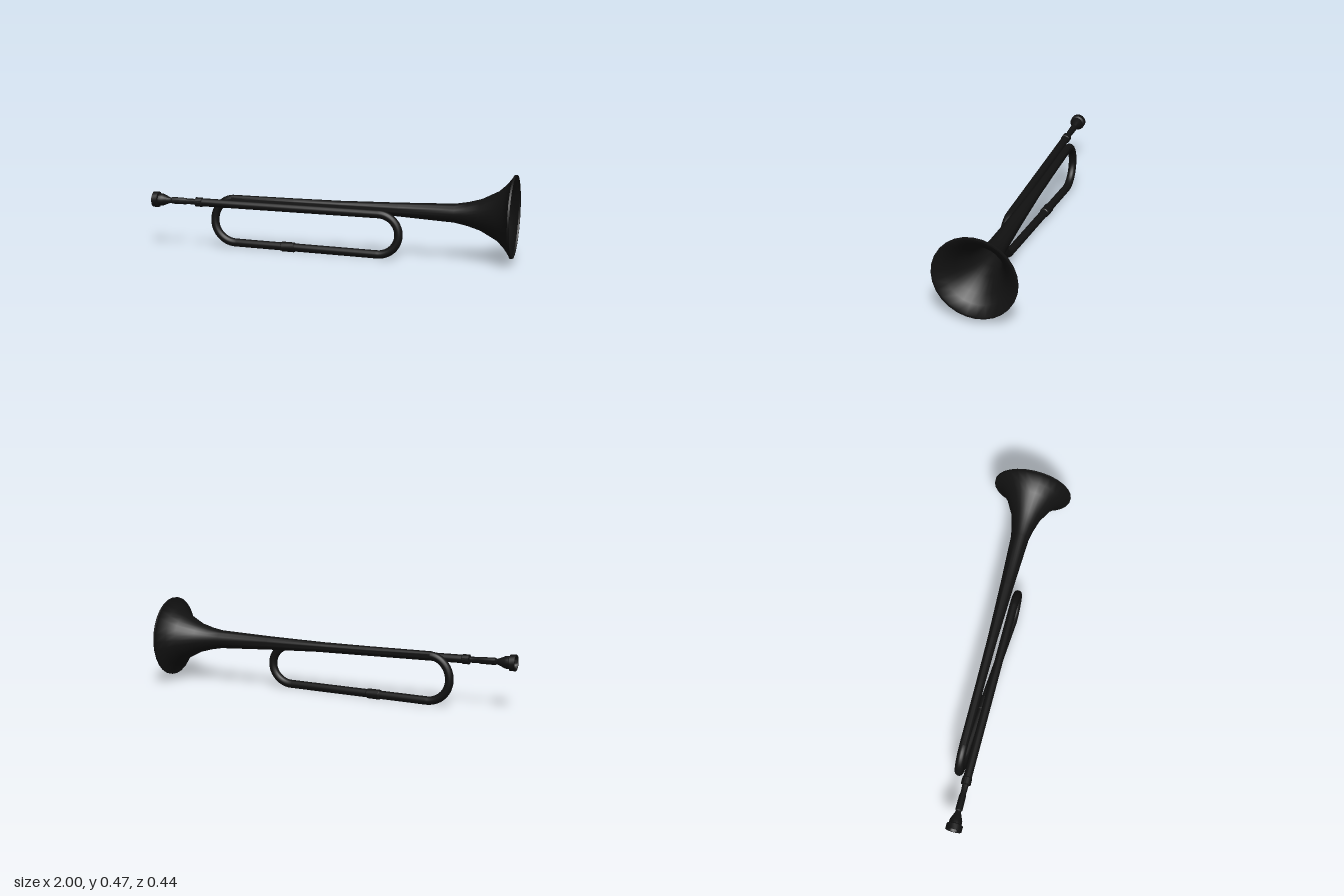
import * as THREE from 'three';
import { toCreasedNormals } from 'three/addons/utils/BufferGeometryUtils.js';

const V = (x, y, z) => new THREE.Vector3(x, y, z);

export function createModel() {
  const group = new THREE.Group();
  const material = new THREE.MeshStandardMaterial({ color: 0x111111, side: THREE.DoubleSide });

  const add = (name, geometry) => {
    const mesh = new THREE.Mesh(geometry, material);
    mesh.name = name;
    group.add(mesh);
    return mesh;
  };

  // Turned part: profile of [x, radius] spun about the line from a to b
  const turned = (name, profile, a, b, sides) => {
    const points = profile.map(([x, r]) => new THREE.Vector2(r, x - a.x));
    const mesh = add(name, toCreasedNormals(new THREE.LatheGeometry(points, sides), 0.7));
    mesh.quaternion.setFromUnitVectors(V(0, 1, 0), b.clone().sub(a).normalize());
    mesh.position.copy(a);
  };

  // Key points of the folded tube
  const leadStart = V(-0.8, 0.266, 0.062);
  const leadEnd = V(0.28, 0.246, 0.062);
  const lowerRight = V(0.28, 0.029, 0.064);
  const lowerLeft = V(-0.54, 0.037, 0);
  const mainStart = V(-0.55, 0.281, 0);
  const bellCentre = V(0.99, 0.255, 0);

  // Folded tube: lead pipe, right bow, lower run and left bow in one path
  const path = new THREE.CurvePath();
  const line = (a, b) => path.add(new THREE.LineCurve3(a, b));
  const bow = (a, b, x) => {
    const k = 0.552;
    const mid = V(x, (a.y + b.y) / 2, (a.z + b.z) / 2);
    const half = (b.y - a.y) / 2;
    const along = (p) => V(p.x + (x - p.x) * k, p.y, p.z);
    path.add(new THREE.CubicBezierCurve3(a, along(a), V(x, mid.y - half * k, mid.z), mid));
    path.add(new THREE.CubicBezierCurve3(mid, V(x, mid.y + half * k, mid.z), along(b), b));
  };
  line(V(-0.73, 0.2647, 0.062), leadEnd);
  bow(leadEnd, lowerRight, 0.393);
  line(lowerRight, lowerLeft);
  bow(lowerLeft, mainStart, -0.663);
  add('foldedTube', new THREE.TubeGeometry(path, 200, 0.0225, 16, false));

  // Sleeve joining the two halves of the lower run
  const sleeve = [[-0.27, 0.022], [-0.265, 0.027], [-0.195, 0.027], [-0.19, 0.022]];
  const sleeveAt = (x) => lowerRight.clone().lerp(lowerLeft, (x - 0.28) / -0.82);
  turned('tubeSleeve', sleeve, sleeveAt(-0.27), sleeveAt(-0.19), 16);

  // Flaring main tube and bell with a thin rim
  turned('bell', [
    [-0.56, 0.0225], [-0.2, 0.024], [0.06, 0.027], [0.38, 0.037], [0.68, 0.05],
    [0.75, 0.063], [0.82, 0.083], [0.91, 0.13], [0.95, 0.168], [0.985, 0.214],
    [0.985, 0.219], [0.995, 0.219], [0.995, 0.212],
  ], mainStart, bellCentre, 28);

  // Mouthpiece with hollow cup, shank and receiver
  turned('mouthpiece', [
    [-0.935, 0.004], [-0.955, 0.02], [-0.99, 0.03], [-1, 0.036], [-1, 0.043],
    [-0.97, 0.043], [-0.965, 0.034], [-0.945, 0.033], [-0.905, 0.016], [-0.895, 0.014],
    [-0.89, 0.019], [-0.81, 0.018], [-0.8, 0.015], [-0.74, 0.017],
  ], leadStart, leadEnd, 20);
  turned('receiver', [
    [-0.755, 0.015], [-0.75, 0.026], [-0.715, 0.026], [-0.71, 0.021],
  ], leadStart, leadEnd, 16);

  return group;
}
